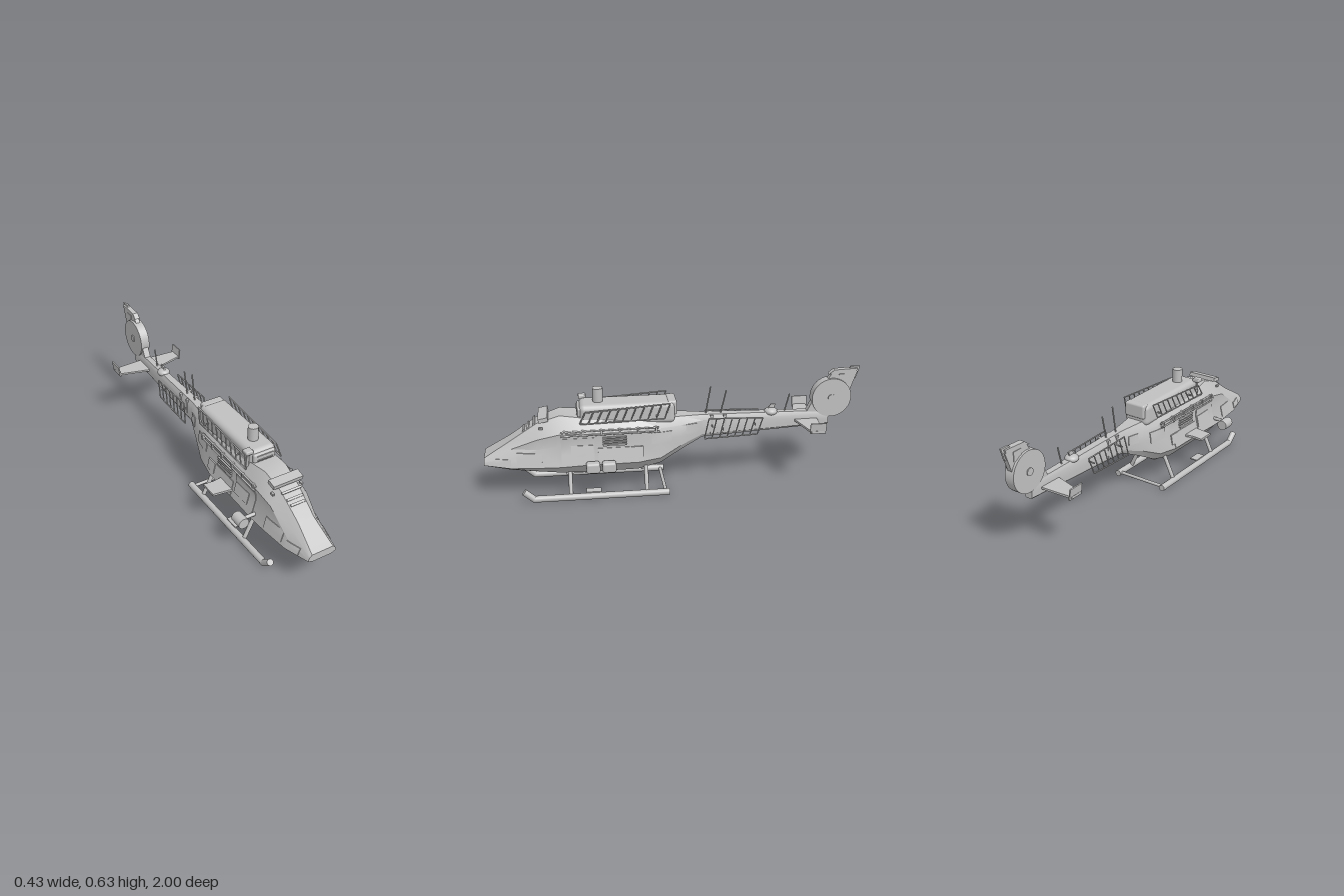
import * as THREE from 'three';
import { toCreasedNormals } from 'three/addons/utils/BufferGeometryUtils.js';
import { RoundedBoxGeometry } from 'three/addons/geometries/RoundedBoxGeometry.js';

// Hull stations from nose to tail: z, then half profile [x, y] from keel to roof
const STATIONS = [
  [1.0, [.05, .185], [.08, .195], [.078, .205], [.074, .215], [.06, .228]],
  [.86, [.07, .158], [.115, .185], [.1, .235], [.072, .275], [.045, .312]],
  [.72, [.08, .145], [.128, .185], [.105, .28], [.105, .335], [.05, .405]],
  [.6, [.09, .135], [.134, .185], [.105, .295], [.113, .362], [.06, .445]],
  [.48, [.09, .132], [.134, .19], [.108, .3], [.112, .362], [.07, .43]],
  [.2, [.085, .132], [.13, .19], [.106, .3], [.108, .362], [.07, .41]],
  [.08, [.07, .155], [.11, .2], [.1, .3], [.09, .36], [.06, .405]],
  [-.03, [.05, .215], [.075, .25], [.075, .3], [.065, .36], [.04, .402]],
  [-.15, [.025, .272], [.035, .29], [.036, .32], [.035, .37], [.022, .398]],
  [-.84, [.015, .308], [.022, .315], [.022, .335], [.022, .37], [.015, .385]],
];

function sectionAt(z) {
  let i = 0;
  while (i < STATIONS.length - 2 && STATIONS[i + 1][0] > z) i++;
  const a = STATIONS[i], b = STATIONS[i + 1];
  const t = THREE.MathUtils.clamp((a[0] - z) / (a[0] - b[0]), 0, 1);
  return a.slice(1).map((p, k) => p.map((v, c) => v + (b[k + 1][c] - v) * t));
}

// Half width of the hull at height y
function hullX(z, y) {
  const s = sectionAt(z);
  for (let k = 0; k < s.length - 1; k++) {
    if (y <= s[k + 1][1] || k === s.length - 2) {
      const t = THREE.MathUtils.clamp((y - s[k][1]) / (s[k + 1][1] - s[k][1]), 0, 1);
      return s[k][0] + (s[k + 1][0] - s[k][0]) * t;
    }
  }
}

function hullGeometry() {
  const pos = [], idx = [], n = 10;
  for (const [z, ...half] of STATIONS) {
    half.forEach(([x, y]) => pos.push(x, y, z));
    [...half].reverse().forEach(([x, y]) => pos.push(-x, y, z));
  }
  const last = (STATIONS.length - 1) * n;
  for (let i = 0; i < last; i += n) {
    for (let j = 0; j < n; j++) {
      const k = (j + 1) % n;
      idx.push(i + j, i + n + j, i + k, i + k, i + n + j, i + n + k);
    }
  }
  for (let j = 1; j < n - 1; j++) idx.push(0, j, j + 1, last, last + j + 1, last + j);
  const g = new THREE.BufferGeometry();
  g.setAttribute('position', new THREE.Float32BufferAttribute(pos, 3));
  g.setIndex(idx);
  return toCreasedNormals(g, 0.45);
}

export function createModel() {
  const root = new THREE.Group();
  root.name = 'helicopter';
  const body = new THREE.Group();
  body.name = 'airframe';
  body.position.x = .011; // side equipment is not symmetric
  root.add(body);
  const grey = new THREE.MeshStandardMaterial({ color: 0xc0c0c0 });
  grey.name = 'light grey';

  const add = (name, geo, x = 0, y = 0, z = 0) => {
    const m = new THREE.Mesh(geo, grey);
    m.name = name;
    m.position.set(x, y, z);
    body.add(m);
    return m;
  };
  const box = (name, w, h, d, x, y, z) => add(name, new THREE.BoxGeometry(w, h, d), x, y, z);
  const rounded = (name, w, h, d, x, y, z, r) => add(name, new RoundedBoxGeometry(w, h, d, 2, r), x, y, z);
  const bar = (name, a, b, r, sides = 8) => {
    const p = new THREE.Vector3(...a), q = new THREE.Vector3(...b), d = q.clone().sub(p);
    const m = add(name, new THREE.CylinderGeometry(r, r, d.length(), sides));
    m.position.copy(p).add(q).multiplyScalar(.5);
    m.quaternion.setFromUnitVectors(new THREE.Vector3(0, 1, 0), d.normalize());
    return m;
  };
  // Thin plate that follows the hull side
  const panel = (name, s, z0, z1, y0, y1, d = .004) => {
    const g = new THREE.BoxGeometry(1, y1 - y0, z1 - z0, 1, 3, 3);
    g.translate(0, (y0 + y1) / 2, (z0 + z1) / 2);
    const p = g.attributes.position;
    for (let i = 0; i < p.count; i++) {
      const out = p.getX(i) * s > 0 ? d : -.006;
      p.setX(i, s * (hullX(p.getZ(i), p.getY(i)) + out));
    }
    g.computeVertexNormals();
    add(name, g);
  };
  // Plate outlined in (z, y), extruded across x
  const sidePlate = (name, pts, w) => {
    const g = new THREE.ExtrudeGeometry(new THREE.Shape(pts.map(([z, y]) => new THREE.Vector2(-z, y))), { depth: w, bevelEnabled: false });
    g.translate(0, 0, -w / 2).rotateY(Math.PI / 2);
    add(name, g);
  };
  // Plate outlined in (x, z), extruded upwards
  const flatPlate = (name, pts, h, y) => {
    const g = new THREE.ExtrudeGeometry(new THREE.Shape(pts.map(([x, z]) => new THREE.Vector2(x, -z))), { depth: h, bevelEnabled: false });
    add(name, g.rotateX(-Math.PI / 2), 0, y, 0);
  };

  add('fuselage', hullGeometry());

  // Roof housing, exhaust and mast
  rounded('engineHousing', .15, .12, .5, 0, .435, .25, .028);
  rounded('rearIntake', .124, .08, .05, 0, .458, .015, .012);
  rounded('frontIntake', .125, .05, .03, 0, .455, .495, .01);
  add('mast', new THREE.CylinderGeometry(.027, .027, .09, 24), 0, .523, .4);
  for (const y of [.445, .468]) box('intakeSlat', .09, .005, .008, 0, y, .51);
  rounded('roofLight', .042, .022, .04, -.081, .495, .48, .006);
  bar('roofLightArm', [-.081, .49, .48], [-.08, .4, .48], .006);

  // Windscreen visor and slats
  const visor = box('visor', .168, .022, .05, 0, .432, .685);
  visor.rotation.x = .2;
  [[.765, .378, .09], [.735, .402, .11], [.79, .362, .08]].forEach(([z, y, w]) => {
    box('windscreenSlat', w, .007, .012, 0, y, z).rotation.x = .6;
  });

  // Nose sensor and lamp
  const ball = add('noseSensor', new THREE.SphereGeometry(.034, 20, 12), 0, .165, .86);
  ball.scale.y = .75;
  box('noseLamp', .032, .008, .008, 0, .204, .996);
  for (const y of [.139, .148]) box('chinSlat', .11, .005, .02, 0, y, .74);

  for (const s of [1, -1]) {
    // Hull panels, windows and doors
    panel('noseWindow', s, .86, .94, .197, .23);
    panel('frontWindow', s, .7, .83, .2, .262);
    panel('frontDoor', s, .43, .6, .2, .335, .003);
    panel('doorWindow', s, .435, .55, .235, .295, .007);
    panel('slidingDoor', s, .2, .41, .195, .275, .003);
    panel('rearHatch', s, .175, .24, .22, .275, .007);
    panel('rearPanel', s, .02, .13, .28, .34);
    panel('boomHatch', s, -.12, -.06, .31, .36);
    for (let i = 0; i < 4; i++) panel('louvre', s, .26, .385, .287 + i * .014, .294 + i * .014, .01);
    for (const y of [.352, .372]) {
      const x0 = hullX(.3, y) + .008;
      bar('sideRail', [s * x0, y, .6], [s * (x0 - .006), y, .09], .005, 6);
    }
    for (let i = 0; i < 6; i++) box('railBracket', .02, .03, .01, s * .108, .362, .58 - i * .095);
    box('cheekLamp', .01, .01, .02, s * .083, .388, .7);

    // Roof side rack
    const rack = (name, top, low, x0, x1, n, lean) => {
      const at = (e, x, t) => [s * x, e[0][1] + (e[1][1] - e[0][1]) * t, e[0][0] + (e[1][0] - e[0][0]) * t];
      bar(name + 'TopRail', at(top, x0, 0), at(top, x0, 1), .004, 6);
      bar(name + 'LowRail', at(low, x1, 0), at(low, x1, 1), .004, 6);
      for (let i = 0; i <= n; i++) {
        const t = i / n;
        bar(name + 'Rung', at(low, x1, t), at(top, x0, Math.min(1, t + lean)), .0035, 6);
      }
    };
    rack('roofRack', [[.47, .468], [.03, .498]], [[.5, .41], [.06, .42]], .094, .104, 10, 0);
    rack('boomRack', [[-.18, .388], [-.47, .38]], [[-.155, .278], [-.44, .29]], .062, .07, 7, 0);
    for (const z of [.4, .1]) bar('roofRackArm', [s * .06, .43, z], [s * .1, .43, z], .004, 6);
    for (const z of [-.2, -.43]) bar('boomRackArm', [s * .02, .34, z], [s * .066, .34, z], .004, 6);

    // Skids with legs and steps
    bar('skid', [s * .149, .018, .04], [s * .149, .018, .75], .0175, 14);
    add('skidBend', new THREE.SphereGeometry(.0175, 14, 10), s * .149, .018, .75);
    bar('skidToe', [s * .149, .018, .75], [s * .149, .063, .802], .0175, 14);
    for (const z of [.56, .16]) bar('skidLeg', [s * .145, .02, z], [s * .083, .15, z], .011, 10);
    box('skidStep', .045, .006, .08, s * .122, .037, .44);

    // Stabiliser with tilted end plate
    flatPlate('stabiliser', [[0, -.645], [s * .2, -.7], [s * .2, -.765], [s * .04, -.775], [0, -.775]], .011, .335);
    const tip = box('stabiliserEndPlate', .007, .06, .085, s * .197, .36, -.735);
    tip.rotation.z = -s * .13;

    add('fanHub', new THREE.CylinderGeometry(.02, .02, .008, 20).rotateZ(Math.PI / 2), s * .027, .46, -.85);
  }

  // Landing gear cross members and belly plate
  bar('skidCrossBar', [-.149, .018, .06], [.149, .018, .06], .009, 10);
  for (const z of [.56, .16]) bar('legCrossTube', [-.085, .142, z], [.085, .142, z], .01, 10);
  box('bellyPlate', .12, .007, .48, 0, .128, .34).rotation.x = .06;
  box('bellyFront', .12, .02, .012, 0, .118, .575);

  // Left side stowage pods
  for (const z of [.44, .357]) {
    rounded('sidePod', .048, .056, .072, .158, .188, z, .012);
    box('podMount', .04, .02, .03, .125, .19, z);
  }

  // Right side winglet and searchlight
  flatPlate('winglet', [[-.1, .3], [-.1, .42], [-.15, .41], [-.228, .4], [-.228, .305], [-.17, .31]], .012, .222);
  add('searchlight', new THREE.CylinderGeometry(.029, .029, .07, 24).rotateX(Math.PI / 2), -.2, .21, .607);
  bar('searchlightArm', [-.2, .22, .615], [-.1, .22, .615], .01, 8);

  // Boom collars, dome and aerials
  for (const z of [-.2, -.27]) box('boomCollar', .072, .105, .016, 0, .342, z);
  add('boomDome', new THREE.SphereGeometry(.036, 20, 12), 0, .39, -.525).scale.y = .6;
  sidePlate('boomBlade', [[-.495, .39], [-.525, .432], [-.55, .43], [-.535, .39]], .008);
  bar('aerial', [0, .39, -.17], [0, .545, -.196], .004, 6);
  bar('aerial', [0, .385, -.25], [0, .52, -.28], .004, 6);
  bar('aerial', [0, .385, -.6], [0, .485, -.624], .004, 6);

  // Tail fan and fin
  add('tailFan', new THREE.CylinderGeometry(.107, .107, .052, 40).rotateZ(Math.PI / 2), 0, .46, -.85);
  sidePlate('finRoot', [[-.68, .35], [-.72, .385], [-.79, .53], [-.84, .5], [-.84, .31]], .036);
  sidePlate('fin', [[-.8, .52], [-.85, .6], [-.985, .6], [-.945, .48], [-.88, .45]], .026);
  sidePlate('finCap', [[-.83, .59], [-.86, .613], [-.985, .618], [-.98, .6]], .03);
  sidePlate('finTip', [[-.94, .61], [-.95, .626], [-1, .626], [-.98, .56], [-.95, .56]], .01);
  for (const s of [1, -1]) box('finPanel', .006, .05, .05, s * .013, .565, -.91);
  return root;
}
